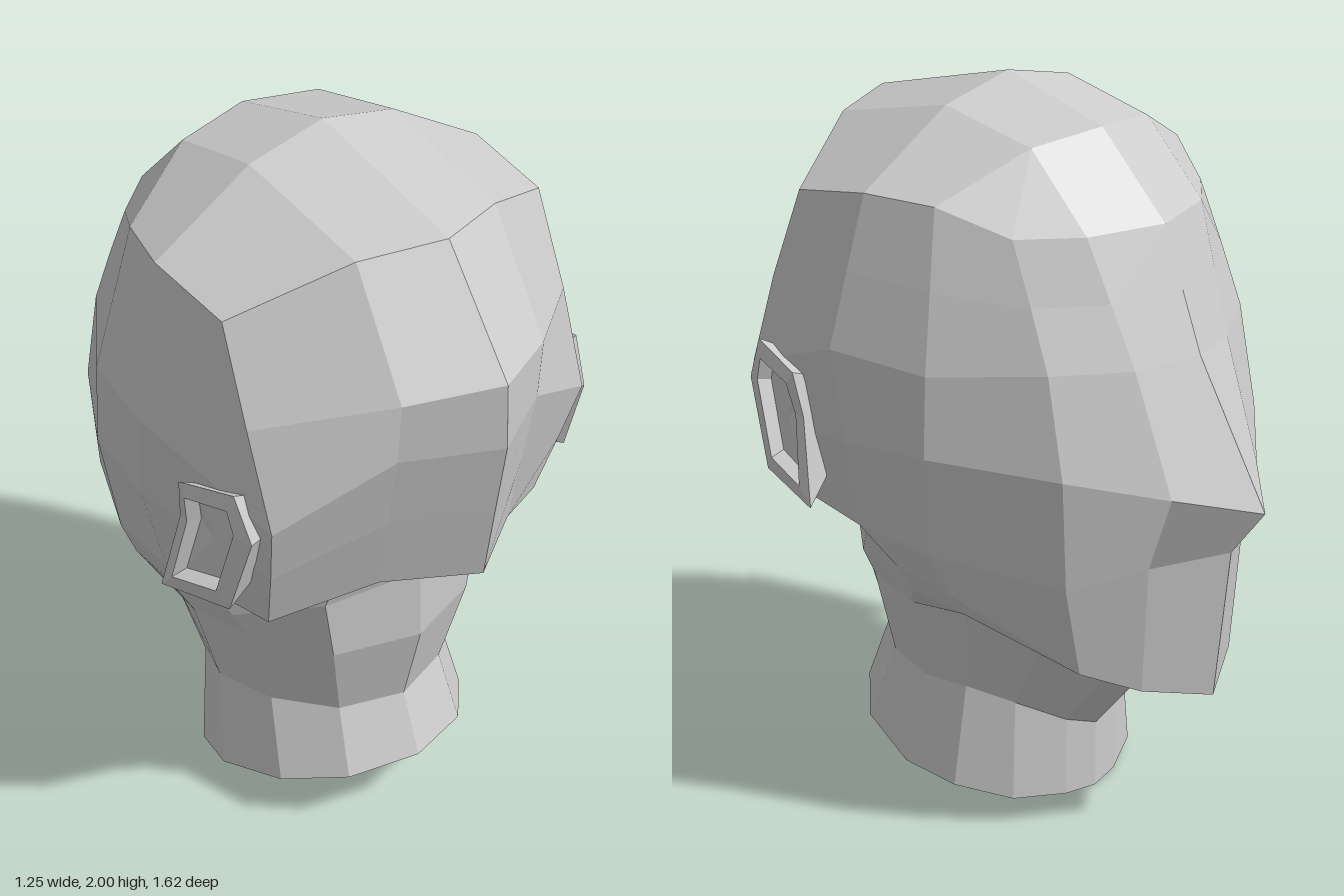
import * as THREE from 'three';

// Half cross-sections, each running from the centre at +z round the +x side to the centre at -z.
const crownToCheek = [
  [[0, 1.88, .57], [0, 1.88, .57], [0, 1.88, .57], [0, 2, .09], [0, 1.91, -.24], [0, 1.91, -.24], [0, 1.91, -.24], [0, 1.91, -.24]],
  [[0, 1.88, .57], [.22, 1.86, .49], [.22, 1.86, .49], [.23, 1.95, .09], [.22, 1.89, -.2], [.22, 1.89, -.2], [.22, 1.89, -.2], [0, 1.91, -.24]],
  [[0, 1.88, .57], [.22, 1.86, .49], [.51, 1.735, .345], [.52, 1.78, .09], [.46, 1.77, -.1], [.36, 1.7, -.27], [.22, 1.7, -.39], [0, 1.7, -.455]],
  [[0, 1.58, .8], [.23, 1.55, .68], [.52, 1.48, .45], [.568, 1.58, .11], [.505, 1.565, -.125], [.368, 1.54, -.34], [.2, 1.535, -.455], [0, 1.54, -.517]],
  [[0, 1.4, .81], [.23, 1.38, .67], [.52, 1.22, .545], [.615, 1.38, .13], [.55, 1.36, -.15], [.375, 1.38, -.405], [.18, 1.37, -.52], [0, 1.38, -.58]],
  [[0, 1.19, .78], [.225, 1.17, .635], [.49, 1.04, .5], [.6, 1.13, .1], [.56, 1.14, -.15], [.38, 1.11, -.46], [.17, 1.05, -.64], [0, 1.01, -.805]],
];
const cheekToJaw = [
  crownToCheek[5],
  [[0, .975, .75], [.22, .96, .6], [.46, .855, .45], [.54, .87, .12], [.52, .85, -.12], [.36, .8, -.455], [.19, .85, -.585], [0, .87, -.7]],
  [[0, .925, .53], [.25, .89, .47], [.45, .81, .19], [.49, .76, .03], [.46, .72, -.14], [.3, .54, -.45], [.18, .485, -.56], [0, .44, -.655]],
];
const jawToNeck = [
  cheekToJaw[2],
  [[0, .83, .51], [.265, .8, .44], [.42, .72, .24], [.445, .68, .02], [.42, .655, -.14], [.3, .54, -.45], [.18, .485, -.56], [0, .44, -.655]],
  [[0, .62, .52], [.235, .615, .44], [.37, .63, .25], [.415, .62, .06], [.37, .62, -.11], [.25, .53, -.26], [.12, .44, -.38], [0, .41, -.41]],
  [[0, .37, .46], [.18, .37, .4], [.3, .37, .25], [.35, .37, .08], [.31, .36, -.04], [.22, .31, -.14], [.1, .24, -.22], [0, .2, -.24]],
  [[0, .19, .53], [.2, .175, .47], [.33, .14, .33], [.38, .09, .13], [.34, .055, -.02], [.24, .02, -.15], [.1, .005, -.22], [0, 0, -.24]],
];

const minus = (p, q) => new THREE.Vector3(...p).sub(new THREE.Vector3(...q));

// Four-sided facets between successive sections, listed from top to bottom (or outside to inside).
// Each facet gets one normal, so that it shades evenly even when slightly twisted.
function skin(rings, { closed = false, mirror = false } = {}) {
  const pos = [], nor = [];
  const tri = (a, b, c, n) => {
    if (minus(b, a).cross(minus(c, a)).length() < 1e-7) return;
    for (const p of [a, b, c]) pos.push(...p), nor.push(n.x, n.y, n.z);
    if (!mirror) return;
    for (const [x, y, z] of [a, c, b]) pos.push(-x, y, z), nor.push(-n.x, n.y, n.z);
  };
  for (let i = 0; i + 1 < rings.length; i++) {
    const up = rings[i], low = rings[i + 1], count = up.length;
    for (let j = 0; j < (closed ? count : count - 1); j++) {
      const k = (j + 1) % count;
      const n = minus(up[k], low[j]).cross(minus(up[j], low[k])).normalize();
      tri(low[j], low[k], up[k], n);
      tri(low[j], up[k], up[j], n);
    }
  }
  const geo = new THREE.BufferGeometry();
  geo.setAttribute('position', new THREE.Float32BufferAttribute(pos, 3));
  geo.setAttribute('normal', new THREE.Float32BufferAttribute(nor, 3));
  return geo;
}

// Ear: a thin flared rim round a sunken panel, outlines given as [z, y, dip of the rim].
const earOuter = [[.46, 1.315, 0], [.285, 1.275, 0], [.265, 1.15, .02], [.215, .915, 0], [.44, .95, 0], [.515, 1.19, 0]];
const earInner = [[.445, 1.265, 0], [.31, 1.24, 0], [.295, 1.15, .02], [.26, .965, 0], [.405, .995, 0], [.465, 1.2, 0]];

function earGeometry(side) {
  const lift = (outline, depth, scale = 1) => outline.map(([z, y, dip]) => [
    side * (.625 - .22 * (z - .25) - depth - dip),
    1.12 + (y - 1.12) * scale,
    .365 + (z - .365) * scale,
  ]);
  const floor = lift(earInner, .04, .9);
  const centre = floor.map(() => [side * .56, 1.12, .365]);
  const rings = [lift(earOuter, .1, .75), lift(earOuter, .008), lift(earInner, 0), floor, centre];
  // reverse the order of corners on one side so that the faces point outwards
  return skin(side > 0 ? rings.map(r => r.slice().reverse()) : rings, { closed: true });
}

export function createModel() {
  const group = new THREE.Group();
  const clay = new THREE.MeshStandardMaterial({ color: 0xcccccc, side: THREE.DoubleSide });
  clay.name = 'light grey clay';
  const add = (name, geo) => {
    const mesh = new THREE.Mesh(geo, clay);
    mesh.name = name;
    group.add(mesh);
  };

  add('skull', skin(crownToCheek, { mirror: true }));
  add('jaw', skin(cheekToJaw, { mirror: true }));
  add('neck', skin(jawToNeck, { mirror: true }));
  add('leftEar', earGeometry(1));
  add('rightEar', earGeometry(-1));
  return group;
}
